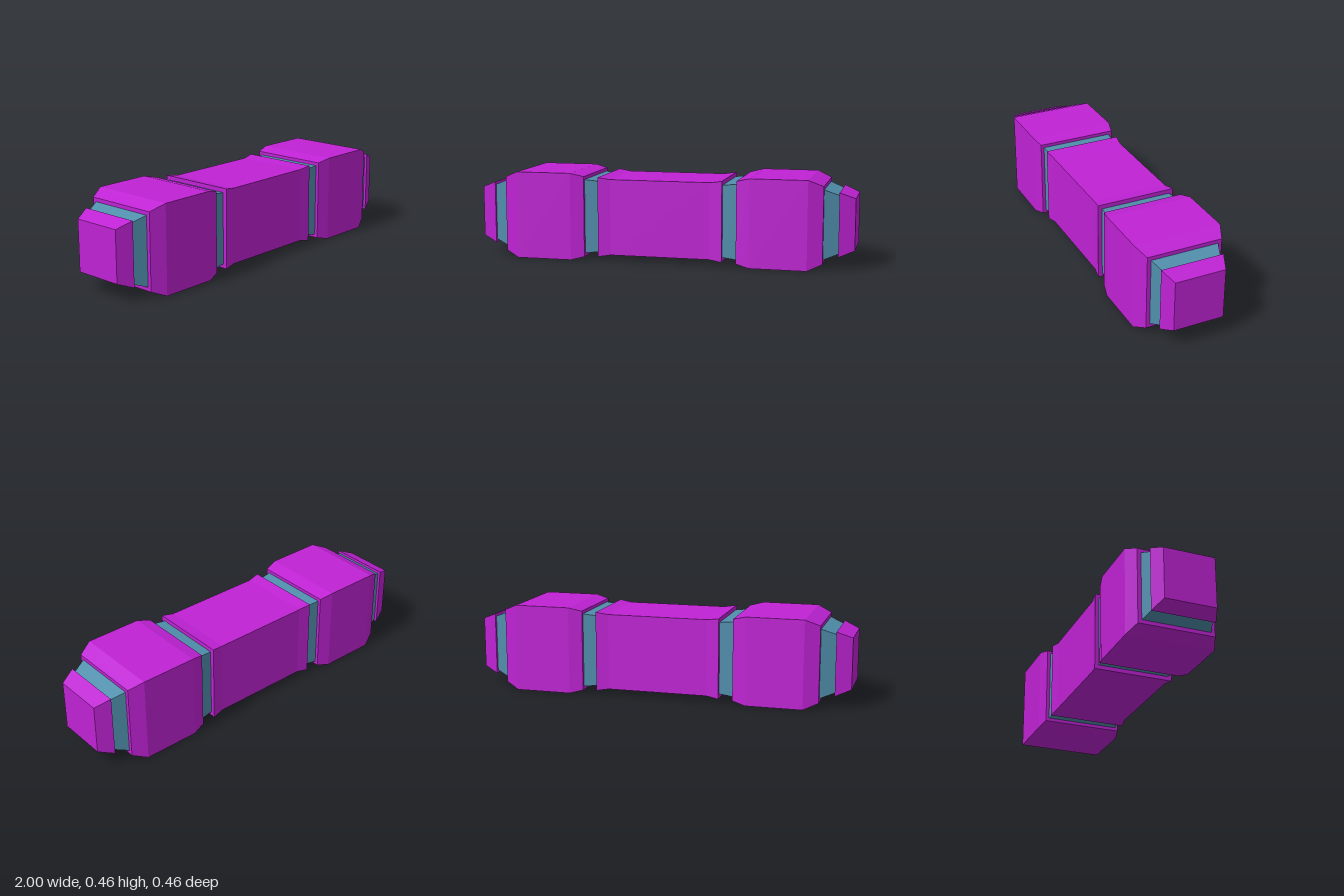
import * as THREE from 'three';

const HEIGHT = 0.23; // centre line above the ground

const purple = new THREE.MeshStandardMaterial({ color: 0xbf22d4 });
purple.name = 'purple shell';
const teal = new THREE.MeshStandardMaterial({ color: 0x508fac });
teal.name = 'teal core';

// Closed square-section solid along x; profile is [x, half width] with x rising.
function squareSolid(name, profile, material) {
  const first = profile[0][0];
  const last = profile[profile.length - 1][0];
  const points = [[first, 0], ...profile, [last, 0]]
    .map(([x, half]) => new THREE.Vector2(half * Math.SQRT2, x));
  const geometry = new THREE.LatheGeometry(points, 4, Math.PI / 4)
    .rotateZ(-Math.PI / 2)
    .toNonIndexed();
  geometry.computeVertexNormals(); // flat facets
  const mesh = new THREE.Mesh(geometry, material);
  mesh.name = name;
  mesh.position.y = HEIGHT;
  return mesh;
}

const mirrored = (profile) => profile.map(([x, half]) => [-x, half]).reverse();

export function createModel() {
  const model = new THREE.Group();
  model.name = 'segmentedBar';

  // Centre grip, flared slightly at both ends
  model.add(squareSolid('centreGrip',
    [[-0.33, 0.21], [-0.265, 0.2], [0.265, 0.2], [0.33, 0.21]], purple));

  // Parts repeated at each end
  const endParts = [
    ['innerCollar', [[0.325, 0.187], [0.41, 0.196]], teal],
    ['endBlock', [[0.405, 0.213], [0.475, 0.23], [0.77, 0.23], [0.845, 0.198]], purple],
    ['outerCollar', [[0.84, 0.18], [0.925, 0.148]], teal],
    ['endCap', [[0.92, 0.165], [1, 0.133]], purple],
  ];
  for (const [name, profile, material] of endParts) {
    model.add(squareSolid(name + 'Left', profile, material));
    model.add(squareSolid(name + 'Right', mirrored(profile), material));
  }
  return model;
}
